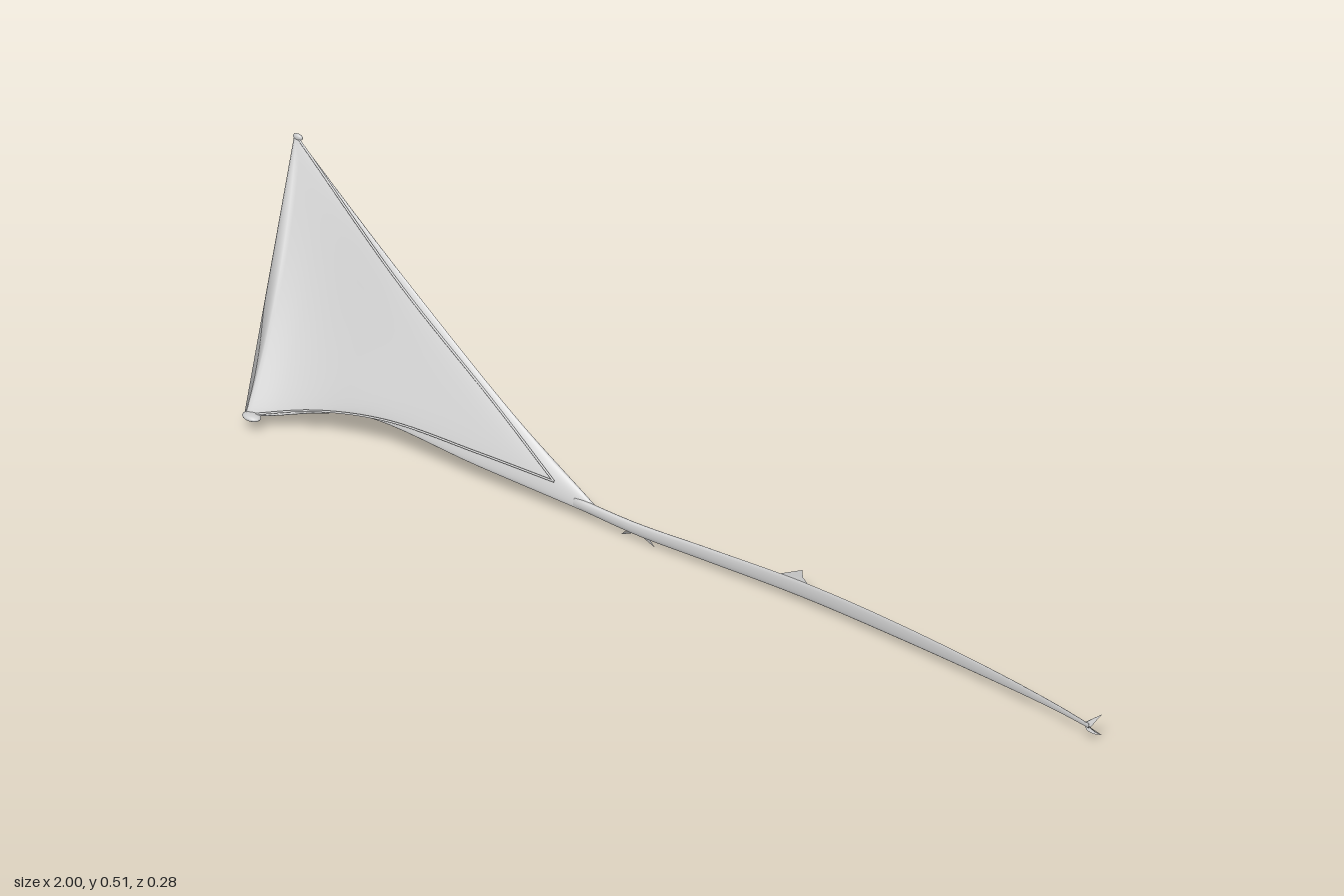
import * as THREE from 'three';

const material = new THREE.MeshStandardMaterial({ color: 0xcccccc, side: THREE.DoubleSide });
const curve = pts => new THREE.CatmullRomCurve3(pts.map(p => new THREE.Vector3(...p)), false, 'centripetal');

// Skin a surface point(s, t), closed around t, and cap both ends.
function loft(name, rows, cols, point) {
  const pos = [], index = [];
  for (let i = 0; i <= rows; i++) {
    for (let j = 0; j < cols; j++) pos.push(...point(i / rows, j / cols).toArray());
  }
  for (let i = 0; i < rows; i++) {
    for (let j = 0; j < cols; j++) {
      const a = i * cols + j, b = i * cols + (j + 1) % cols;
      index.push(a, b, a + cols, b, b + cols, a + cols);
    }
  }
  for (const start of [0, rows * cols]) {
    for (let j = 1; j < cols - 1; j++) {
      index.push(start, start + (start ? j : j + 1), start + (start ? j + 1 : j));
    }
  }
  const geo = new THREE.BufferGeometry();
  geo.setAttribute('position', new THREE.Float32BufferAttribute(pos, 3));
  geo.setIndex(index);
  geo.computeVertexNormals();
  const mesh = new THREE.Mesh(geo, material);
  mesh.name = name;
  return mesh;
}

// Thin fin made as a fan from its first corner.
function fin(name, pts) {
  const geo = new THREE.BufferGeometry();
  const tris = [];
  for (let i = 1; i < pts.length - 1; i++) tris.push(...pts[0], ...pts[i], ...pts[i + 1]);
  geo.setAttribute('position', new THREE.Float32BufferAttribute(tris, 3));
  geo.computeVertexNormals();
  const mesh = new THREE.Mesh(geo, material);
  mesh.name = name;
  return mesh;
}

function lip(name, pts) {
  const mesh = new THREE.Mesh(new THREE.TubeGeometry(curve(pts), 40, 0.0022, 6), material);
  mesh.name = name;
  return mesh;
}

export function createModel() {
  const group = new THREE.Group();

  // Huge thin mouth pouch, spanned between the lower and upper jaw edges
  const lower = curve([[-0.2, 0.034, 0.026], [-0.45, 0.058, 0.043], [-0.7, 0.085, 0.06],
    [-0.8, 0.065, 0.082], [-0.87, 0.047, 0.107], [-0.927, 0.037, 0.132]]);
  const upper = curve([[-0.2, 0.053, 0.018], [-0.4, 0.157, -0.013], [-0.7, 0.331, -0.072],
    [-0.86, 0.424, -0.109], [-0.997, 0.508, -0.14]]);
  const normal = new THREE.Vector3(-0.08, 0.48, 0.86).normalize();
  group.add(loft('mouthPouch', 40, 48, (s, t) => {
    const angle = t * Math.PI * 2;
    const across = (1 - Math.cos(angle)) / 2;
    const p = lower.getPoint(s).lerp(upper.getPoint(s), across);
    const middle = Math.max(0, Math.sin(across * Math.PI));
    const thick = 0.004 + 0.008 * (1 - s) * Math.min(1, s * 8);
    p.addScaledVector(normal, -Math.sin(angle) * thick - middle * 0.01 * s);
    // The open front edge is drawn in between the jaw tips
    p.x += 0.018 * Math.sqrt(middle) * s ** 4;
    return p;
  }));

  // Lips running from the jaw tips to the corner of the mouth
  const corner = [-0.285, 0.08, 0.03];
  group.add(lip('upperLip', [corner, [-0.45, 0.174, -0.01], [-0.7, 0.32, -0.06], [-0.985, 0.5, -0.136]]));
  group.add(lip('lowerLip', [corner, [-0.45, 0.088, 0.042], [-0.65, 0.095, 0.06],
    [-0.8, 0.073, 0.085], [-0.92, 0.042, 0.128]]));

  // Blunt jaw tips
  for (const [name, x, y, z, sx, sy, sz] of [['upperJawTip', -0.988, 0.503, -0.138, 0.011, 0.007, 0.005],
    ['lowerJawTip', -0.912, 0.041, 0.128, 0.02, 0.007, 0.014]]) {
    const tip = new THREE.Mesh(new THREE.SphereGeometry(1, 14, 10), material);
    tip.name = name;
    tip.position.set(x, y, z);
    tip.scale.set(sx, sy, sz);
    group.add(tip);
  }

  // Long flattened body, tapering to the tail
  const spine = curve([[-0.24, 0.047, 0.024], [-0.1, 0.037, 0.021], [0.05, 0.037, 0.016], [0.28, 0.04, 0.014],
    [0.5, 0.04, 0.025], [0.75, 0.039, 0.047], [0.9, 0.04, 0.068], [0.98, 0.04, 0.083]]);
  const sizes = curve([[0, 0.011, 0.007], [0.2, 0.016, 0.005], [0.42, 0.018, 0.0035],
    [0.7, 0.014, 0.0028], [1, 0.005, 0.002]]);
  group.add(loft('body', 48, 14, (s, t) => {
    const p = spine.getPointAt(s), r = sizes.getPoint(s), a = t * Math.PI * 2;
    p.y -= Math.cos(a) * r.y;
    p.z -= Math.sin(a) * r.z;
    return p;
  }));

  // Dorsal fin
  group.add(fin('dorsalFin', [[0.22, 0.055, 0.014], [0.29, 0.055, 0.014], [0.274, 0.066, 0.011],
    [0.271, 0.08, 0.008], [0.258, 0.064, 0.011]]));

  // Paired fins below the neck
  group.add(fin('rightPectoralFin', [[-0.1, 0.027, 0.017], [-0.125, 0.017, 0.013],
    [-0.145, 0.001, 0.009], [-0.131, 0.018, 0.019], [-0.115, 0.027, 0.021]]));
  group.add(fin('leftPectoralFin', [[-0.09, 0.027, 0.023], [-0.076, 0.018, 0.016],
    [-0.066, 0.002, 0.011], [-0.071, 0.018, 0.017], [-0.072, 0.027, 0.021]]));

  // Forked tail, mirrored above and below
  for (const [name, side] of [['upperTailFin', 1], ['lowerTailFin', -1]]) {
    group.add(fin(name, [[0.966, 0.04, 0.08], [0.978, 0.04 + 0.01 * side, 0.086],
      [0.988, 0.04 + 0.018 * side, 0.079], [0.999, 0.04 + 0.024 * side, 0.066],
      [0.992, 0.04 + 0.011 * side, 0.08], [0.986, 0.04, 0.085]]));
  }
  return group;
}
